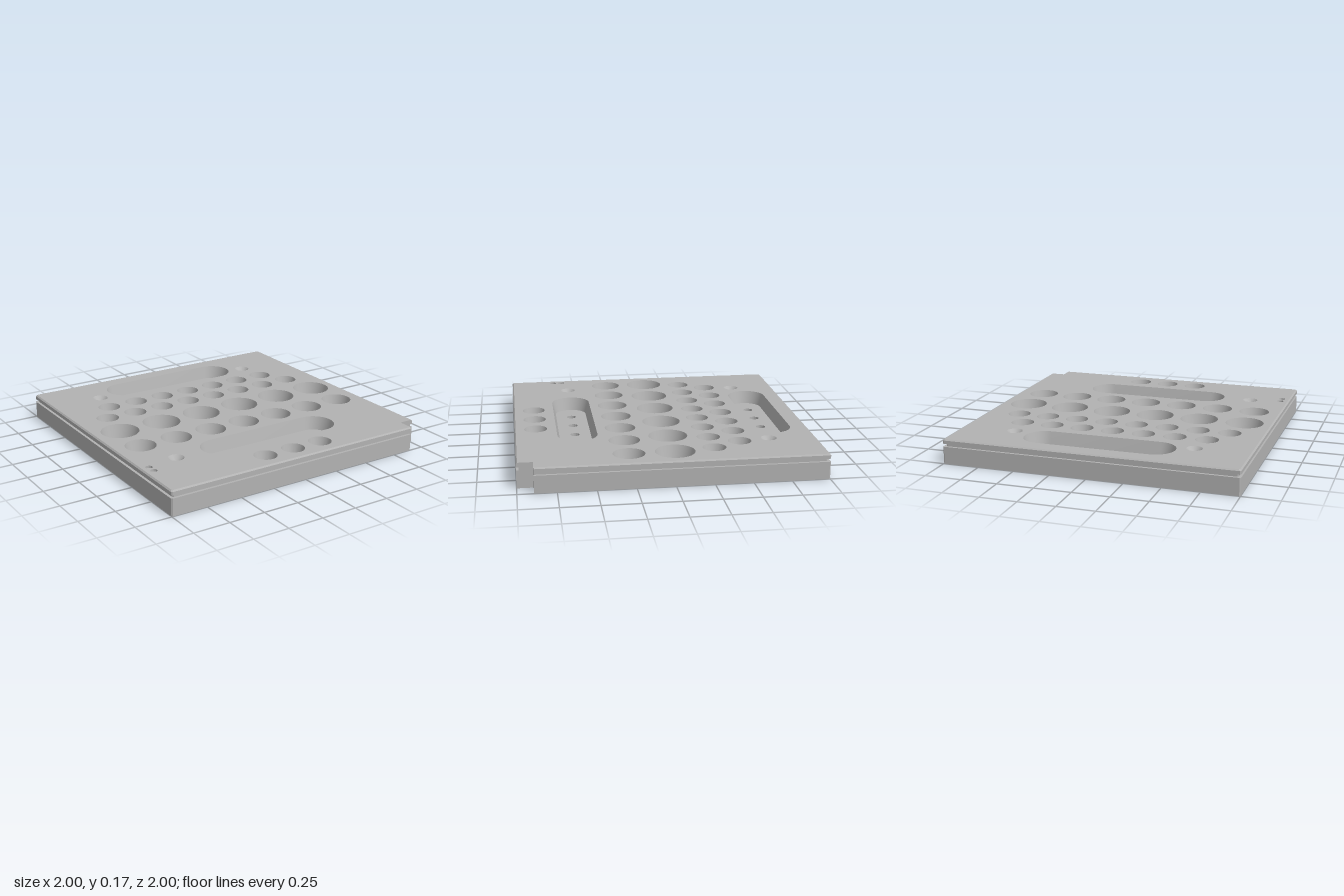
import * as THREE from 'three';
import { mergeGeometries, toCreasedNormals } from 'three/addons/utils/BufferGeometryUtils.js';

const TOP = 0.17, BORE = 0.033;

// Circle, or a slot outline when half (half the straight length) is given; points run from +x towards +z
function ring(cx, cz, r, half = 0) {
  const pts = [], n = 40;
  if (half === 0) {
    for (let k = 0; k < n; k++) {
      const a = (k / n) * Math.PI * 2;
      pts.push([cx + r * Math.cos(a), cz + r * Math.sin(a)]);
    }
    return pts;
  }
  for (const side of [1, -1]) {
    for (let k = 0; k <= n / 2; k++) {
      const a = (k / (n / 2) - 0.5) * Math.PI + (side < 0 ? Math.PI : 0);
      pts.push([cx + side * half + r * Math.cos(a), cz + r * Math.sin(a)]);
    }
  }
  return pts;
}

// Plate outline with the corner notch; the notch itself is never inset
function outline(inset) {
  const e = 1 - inset, n = 0.893, c = 0.008;
  return [[e - c, -e], [e, -e + c], [e, n], [n, n], [n, e],
    [-e + c, e], [-e, e - c], [-e, -e + c], [-e + c, -e]];
}

// Wall through rings [points, y]: rising rings face outward, falling rings face inward
function loft(rings) {
  const v = [];
  for (let i = 0; i + 1 < rings.length; i++) {
    const [p, y0] = rings[i], [q, y1] = rings[i + 1];
    for (let j = 0; j < p.length; j++) {
      const k = (j + 1) % p.length;
      const a = [p[j][0], y0, p[j][1]], b = [p[k][0], y0, p[k][1]];
      const c = [q[k][0], y1, q[k][1]], d = [q[j][0], y1, q[j][1]];
      v.push(...a, ...d, ...b, ...b, ...d, ...c);
    }
  }
  const g = new THREE.BufferGeometry();
  g.setAttribute('position', new THREE.Float32BufferAttribute(v, 3));
  return toCreasedNormals(g, 0.5);
}

// Flat horizontal face with holes, looking up or down
function face(points, holes, y, up = true) {
  const toV = (pts) => pts.map(([x, z]) => new THREE.Vector2(x, up ? -z : z));
  const shape = new THREE.Shape(toV(points));
  for (const h of holes) shape.holes.push(new THREE.Path(toV(h)));
  const g = new THREE.ShapeGeometry(shape).toNonIndexed();
  g.deleteAttribute('uv');
  g.rotateX(up ? -Math.PI / 2 : Math.PI / 2);
  g.translate(0, y, 0);
  return g;
}

export function createModel() {
  const model = new THREE.Group();
  model.name = 'holderPlate';
  const grey = new THREE.MeshStandardMaterial({ color: 0xb2b2b2 });
  grey.name = 'plain grey';
  const add = (name, parts) => {
    const mesh = new THREE.Mesh(mergeGeometries(parts), grey);
    mesh.name = name;
    model.add(mesh);
  };
  const topHoles = [], bottomHoles = [];

  // Tapered pocket with a flat floor and through bores
  function pocket(name, cx, cz, r, floorR, depth, half, bores) {
    const y = TOP - depth;
    const rim = ring(cx, cz, r, half), floor = ring(cx, cz, floorR, half);
    const holes = bores.map((x) => ring(x, cz, BORE));
    topHoles.push(rim);
    bottomHoles.push(...holes);
    add(name, [
      loft([[rim, TOP], [floor, y]]),
      face(floor, holes, y),
      ...holes.map((h) => loft([[h, y], [h, 0]])),
    ]);
  }

  // Rows of round pockets: name, z, outermost x, count, rim radius, floor radius
  const rows = [
    ['smallPocket', -0.475, 0.656, 7, 0.078, 0.052],
    ['smallPocket', -0.285, 0.765, 8, 0.078, 0.052],
    ['largePocket', -0.02, 0.808, 6, 0.131, 0.105],
    ['mediumPocket', 0.28, 0.813, 7, 0.105, 0.079],
    ['smallPocket', 0.855, 0.219, 3, 0.078, 0.052],
  ];
  for (const [name, z, xMax, count, r, floorR] of rows) {
    for (let i = 0; i < count; i++) {
      const x = -xMax + (2 * xMax * i) / (count - 1);
      pocket(name, x, z, r, floorR, 0.1, 0, [x]);
    }
  }

  // Long slots with four bores each
  for (const z of [-0.75, 0.58]) {
    pocket('slot', 0, z, 0.135, 0.11, 0.09, 0.385, [-0.312, -0.104, 0.104, 0.312]);
  }

  // Conical dimples
  for (const [x, z] of [[-0.625, -0.68], [0.625, -0.68], [-0.72, 0.58]]) {
    const rim = ring(x, z, 0.053);
    topHoles.push(rim);
    add('coneDimple', [loft([[rim, TOP], [ring(x, z, 0.0005), TOP - 0.053]])]);
  }

  // Shallow round marks near the left edge
  for (const z of [0.62, 0.683]) {
    const rim = ring(-0.94, z, 0.023);
    topHoles.push(rim);
    add('roundMark', [loft([[rim, TOP], [rim, TOP - 0.015]]), face(rim, [], TOP - 0.015)]);
  }

  // Blind recesses under three corners
  for (const [x, z] of [[0.87, -0.87], [-0.87, -0.87], [-0.87, 0.87]]) {
    const rim = ring(x, z, 0.052);
    bottomHoles.push(rim);
    add('cornerRecess', [loft([[rim, 0.06], [rim, 0]]), face(rim, [], 0.06, false)]);
  }

  // Outer wall with side groove and chamfered top edge: inset, height
  const profile = [[0, 0], [0, 0.118], [0.018, 0.118], [0.018, 0.138], [0, 0.138], [0, 0.161], [0.009, TOP]];
  add('outerWall', [loft(profile.map(([inset, y]) => [outline(inset), y]))]);

  // Top and underside
  add('topFace', [face(outline(0.009), topHoles, TOP)]);
  add('underside', [face(outline(0), bottomHoles, 0, false)]);
  return model;
}
